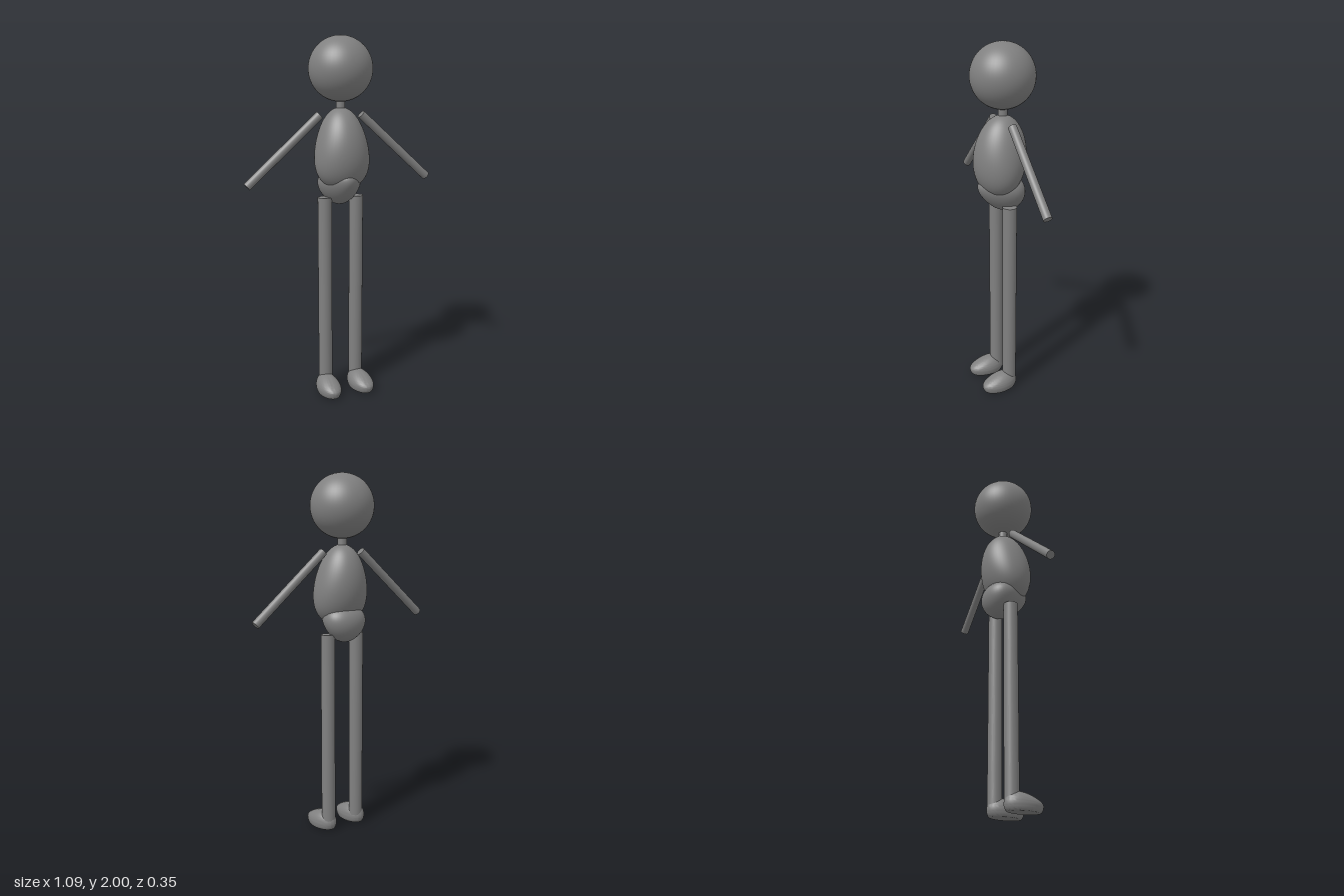
import * as THREE from 'three';
import { mergeVertices, toCreasedNormals } from 'three/addons/utils/BufferGeometryUtils.js';

const darkGrey = new THREE.MeshStandardMaterial({ color: 0x808080 });

function part(name, geometry) {
  const mesh = new THREE.Mesh(geometry, darkGrey);
  mesh.name = name;
  return mesh;
}

// Unit sphere with every vertex moved by a rule, seam welded for smooth normals
function shapedSphere(rule) {
  const sphere = new THREE.SphereGeometry(1, 48, 32);
  sphere.deleteAttribute('uv');
  sphere.deleteAttribute('normal');
  const geometry = mergeVertices(sphere, 1e-5);
  const pos = geometry.attributes.position;
  const p = new THREE.Vector3();
  for (let i = 0; i < pos.count; i++) {
    rule(p.fromBufferAttribute(pos, i));
    pos.setXYZ(i, p.x, p.y, p.z);
  }
  geometry.computeVertexNormals();
  return geometry;
}

// Straight round rod between two points
function rod(name, from, to, radius) {
  const dir = to.clone().sub(from);
  const mesh = part(name, new THREE.CylinderGeometry(radius, radius, dir.length(), 32));
  mesh.position.copy(from).add(to).multiplyScalar(0.5);
  mesh.quaternion.setFromUnitVectors(new THREE.Vector3(0, 1, 0), dir.normalize());
  return mesh;
}

export function createModel() {
  const model = new THREE.Group();
  model.name = 'figure';
  const v = (x, y, z) => new THREE.Vector3(x, y, z);

  // Head and neck
  const head = part('head', new THREE.SphereGeometry(0.174, 48, 32));
  head.position.y = 1.826;
  model.add(head, rod('neck', v(0, 1.56, 0), v(0, 1.68, 0), 0.025));

  // Egg-shaped torso, wide end down, belly leaning forward
  model.add(part('torso', shapedSphere((p) => {
    const t = p.y;
    p.set(p.x * 0.147 * (1 - 0.25 * t + 0.14 * t * t), 1.402 + 0.222 * t,
      p.z * 0.143 * (1 - 0.03 * t) + 0.017 - 0.016 * t);
  })));

  // Egg-shaped pelvis, narrow end pointing forward and up, slimmer underneath
  const pelvis = part('pelvis', shapedSphere((p) => {
    const taper = 1 - 0.3 * p.z;
    p.set(p.x * 0.113 * taper * (1 + 0.25 * p.y), p.y * 0.1 * taper, p.z * 0.135);
  }));
  pelvis.position.set(0, 1.205, 0.015);
  pelvis.rotation.x = -0.32;
  model.add(pelvis);

  // Flat-soled foot, highest at the ankle and lower at the toe
  const footGeometry = toCreasedNormals(shapedSphere((p) => {
    const y = p.y > 0 ? p.y * 0.062 * (1 - 0.4 * p.z) : Math.max(p.y * 0.07, -0.035);
    p.set(p.x * 0.065 + p.z * 0.006, 0.035 + y, p.z * 0.109 + 0.065);
  }), 0.7);

  // Arms, legs and feet on both sides
  for (const [side, s] of [['left', 1], ['right', -1]]) {
    const foot = part(side + 'Foot', footGeometry.clone());
    // Toes turn slightly outward
    foot.rotation.y = s * 0.04;
    foot.position.x = s * 0.096;
    model.add(
      rod(side + 'Arm', v(s * 0.121, 1.583, 0), v(s * 0.529, 1.219, 0), 0.0235),
      rod(side + 'Leg', v(s * 0.093, 0.05, 0), v(s * 0.093, 1.135, 0), 0.039),
      foot
    );
  }
  return model;
}
